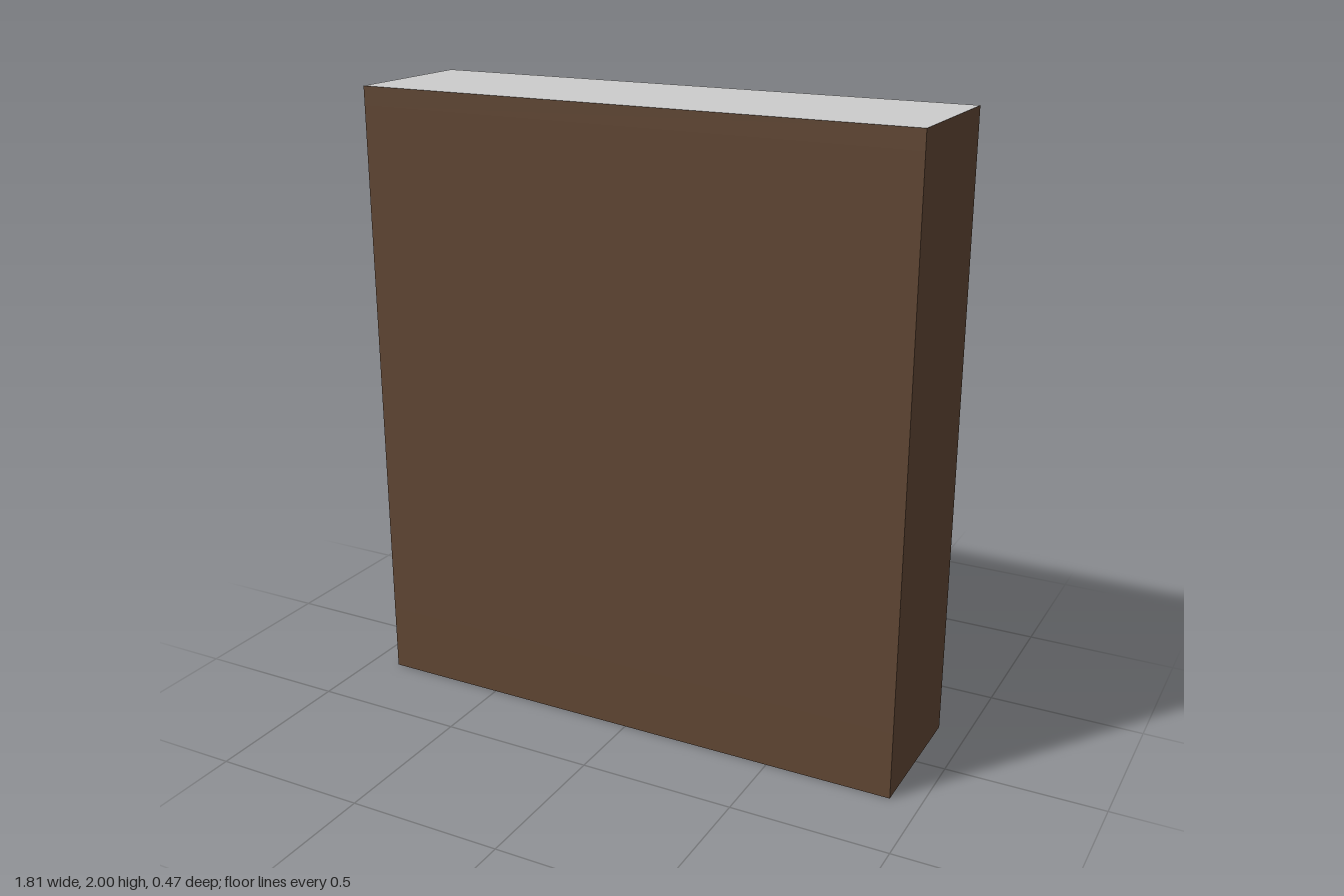
import * as THREE from 'three';

const W = 1.81, H = 2, D = 0.47; // overall size
const SIDE = 0.06, PANEL = 0.037; // side and closed-face thickness

export function createModel() {
  const wood = new THREE.MeshStandardMaterial({ color: 0x614734 });
  wood.name = 'dark wood';
  const grey = new THREE.MeshStandardMaterial({ color: 0xcccccc });
  grey.name = 'light grey';
  const greyTop = [wood, wood, grey, wood, wood, wood]; // wood board with a grey upper face

  const group = new THREE.Group();
  group.name = 'slidingDoorCabinet';

  // box given by its minimum and maximum corners
  const board = (name, [x0, y0, z0], [x1, y1, z1], material) => {
    const mesh = new THREE.Mesh(new THREE.BoxGeometry(x1 - x0, y1 - y0, z1 - z0), material);
    mesh.position.set((x0 + x1) / 2, (y0 + y1) / 2, (z0 + z1) / 2);
    mesh.name = name;
    group.add(mesh);
  };

  const x = W / 2, z = D / 2, inX = x - SIDE, inZ = z - PANEL;

  // carcass: the compartments open towards -z
  board('base', [-x, 0, -z], [x, 0.22, z], greyTop);
  board('topBoard', [-x, H - 0.06, -z], [x, H, z], greyTop);
  board('leftSide', [inX, 0.22, -z], [x, H - 0.06, z], wood);
  board('rightSide', [-x, 0.22, -z], [-inX, H - 0.06, z], wood);
  board('closedPanel', [-inX, 0.22, inZ], [inX, H - 0.06, z], wood);
  board('middleShelf', [-inX, 0.55, -z], [inX, 0.66, inZ], greyTop);

  // door covering half of the upper compartment, slightly recessed
  board('slidingDoor', [-0.008, 0.667, -z + 0.016], [inX - 0.001, 1.933, -z + 0.061], grey);

  return group;
}
